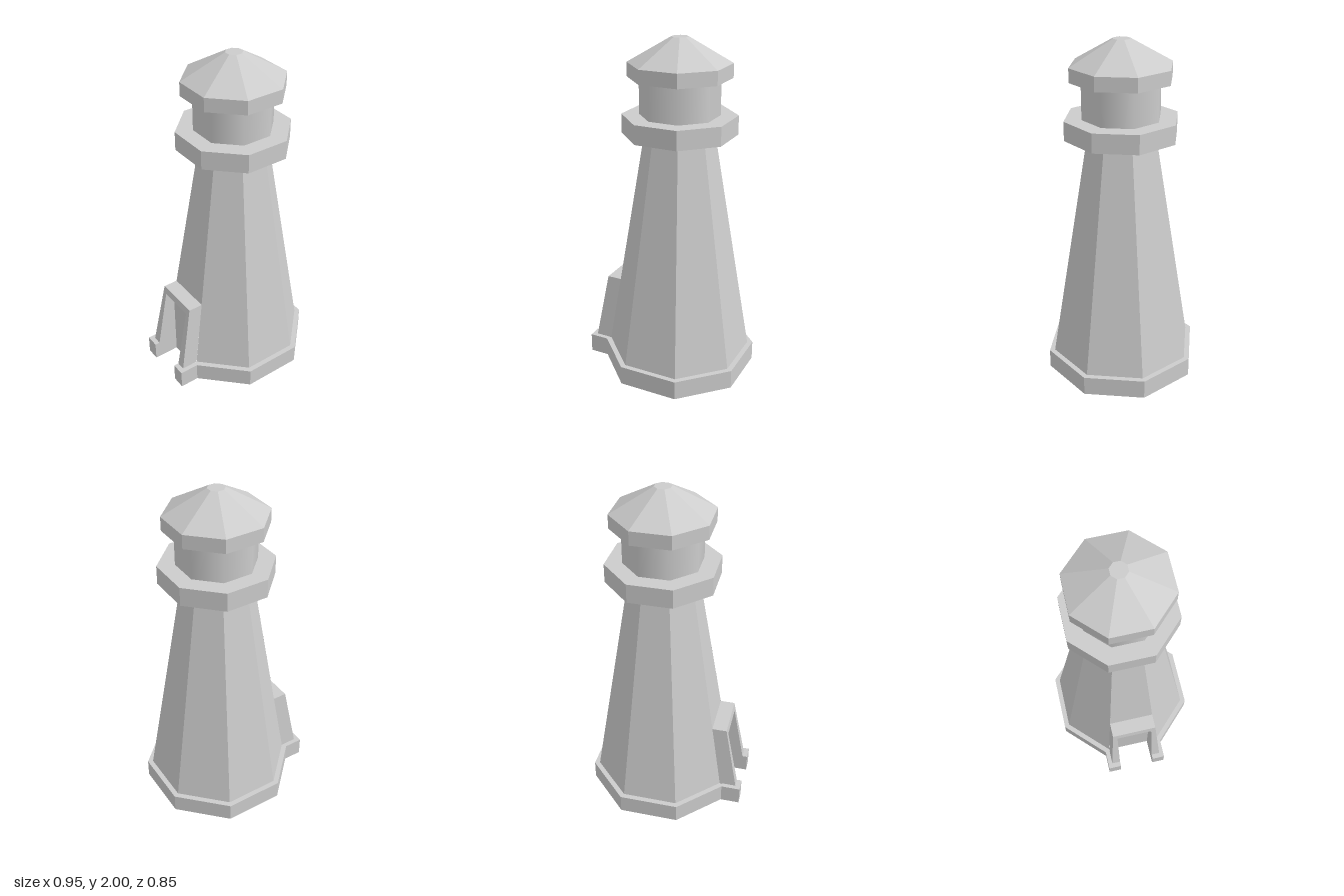
import * as THREE from 'three';

const EIGHTH = Math.PI / 4;
const CX = 0.05; // tower axis

const stone = new THREE.MeshStandardMaterial({ color: 0xcccccc, side: THREE.DoubleSide });
stone.name = 'grey stone';

function flat(geometry) {
  const g = geometry.toNonIndexed();
  g.computeVertexNormals();
  return g;
}

function addMesh(group, name, geometry) {
  const mesh = new THREE.Mesh(geometry, stone);
  mesh.name = name;
  group.add(mesh);
  return mesh;
}

// Octagonal drum given by its flat-to-flat half widths
function drum(bottom, top, y0, y1, { open = false, gap = false } = {}) {
  const k = 1 / Math.cos(EIGHTH / 2);
  const sides = gap ? 7 : 8; // the gap leaves out the doorway side (-x)
  const start = gap ? 6.5 * EIGHTH : EIGHTH / 2;
  const g = new THREE.CylinderGeometry(top * k, bottom * k, y1 - y0, sides, 1, open, start, sides * EIGHTH);
  return g.translate(CX, (y0 + y1) / 2, 0);
}

// Flat four-sided faces, corners counter-clockwise from outside
function quads(list) {
  const p = [];
  for (const [a, b, c, d] of list) p.push(...a, ...b, ...c, ...a, ...c, ...d);
  const g = new THREE.BufferGeometry();
  g.setAttribute('position', new THREE.Float32BufferAttribute(p, 3));
  g.computeVertexNormals();
  return g;
}

// Mirrors faces across z and keeps them facing outward
const mirrorZ = (list) => list.map((q) => q.map(([x, y, z]) => [x, y, -z]).reverse());

export function createModel() {
  const model = new THREE.Group();
  model.name = 'lighthouse';

  // Hollow base and tapered tower, open on the doorway side
  addMesh(model, 'base', flat(drum(0.425, 0.425, 0, 0.115, { open: true, gap: true })));
  const k = 1 / Math.cos(EIGHTH / 2);
  const ledge = new THREE.RingGeometry(0.395 * k, 0.425 * k, 7, 1, 4.5 * EIGHTH, 7 * EIGHTH);
  ledge.rotateX(-Math.PI / 2).translate(CX, 0.115, 0);
  addMesh(model, 'baseLedge', ledge);
  addMesh(model, 'tower', flat(drum(0.395, 0.185, 0.115, 1.46, { open: true, gap: true })));
  addMesh(model, 'towerWallOverDoor', quads([
    [[-0.28, 0.53, -0.137], [-0.28, 0.53, 0.137], [-0.135, 1.46, 0.077], [-0.135, 1.46, -0.077]],
  ]));

  // Gallery, lantern room and roof
  addMesh(model, 'gallery', flat(drum(0.303, 0.303, 1.46, 1.57)));
  addMesh(model, 'lanternRoom', drum(0.21, 0.21, 1.57, 1.78, { open: true }));
  addMesh(model, 'roofRim', flat(drum(0.27, 0.27, 1.78, 1.86)));
  addMesh(model, 'roof', flat(drum(0.27, 0.045, 1.86, 2)));

  // Doorway sides: footing and sloping post, one per side
  const footing = [
    [[-0.475, 0, 0.11], [-0.475, 0, 0.19], [-0.475, 0.115, 0.19], [-0.475, 0.115, 0.11]],
    [[-0.475, 0, 0.19], [-0.361, 0, 0.19], [-0.361, 0.115, 0.19], [-0.475, 0.115, 0.19]],
    [[-0.475, 0.115, 0.19], [-0.361, 0.115, 0.19], [-0.345, 0.115, 0.11], [-0.475, 0.115, 0.11]],
    [[-0.32, 0, 0.11], [-0.475, 0, 0.11], [-0.475, 0.115, 0.11], [-0.32, 0.115, 0.11]],
  ];
  const post = [
    [[-0.445, 0.115, 0.11], [-0.445, 0.115, 0.163], [-0.367, 0.53, 0.137], [-0.367, 0.53, 0.11]],
    [[-0.445, 0.115, 0.163], [-0.345, 0.115, 0.163], [-0.28, 0.53, 0.137], [-0.367, 0.53, 0.137]],
    [[-0.32, 0.115, 0.11], [-0.445, 0.115, 0.11], [-0.3745, 0.49, 0.11], [-0.32, 0.49, 0.11]],
  ];
  const doorway = new THREE.Group();
  doorway.name = 'doorway';
  addMesh(doorway, 'leftFooting', quads(footing));
  addMesh(doorway, 'rightFooting', quads(mirrorZ(footing)));
  addMesh(doorway, 'leftPost', quads(post));
  addMesh(doorway, 'rightPost', quads(mirrorZ(post)));

  // Lintel: front, top and underside
  addMesh(doorway, 'lintel', quads([
    [[-0.3745, 0.49, -0.11], [-0.3745, 0.49, 0.11], [-0.367, 0.53, 0.11], [-0.367, 0.53, -0.11]],
    [[-0.367, 0.53, 0.137], [-0.28, 0.53, 0.137], [-0.28, 0.53, -0.137], [-0.367, 0.53, -0.137]],
    [[-0.3745, 0.49, -0.11], [-0.32, 0.49, -0.11], [-0.32, 0.49, 0.11], [-0.3745, 0.49, 0.11]],
  ]));
  addMesh(doorway, 'door', quads([
    [[-0.32, 0, -0.11], [-0.32, 0, 0.11], [-0.32, 0.49, 0.11], [-0.32, 0.49, -0.11]],
  ]));
  model.add(doorway);

  return model;
}
